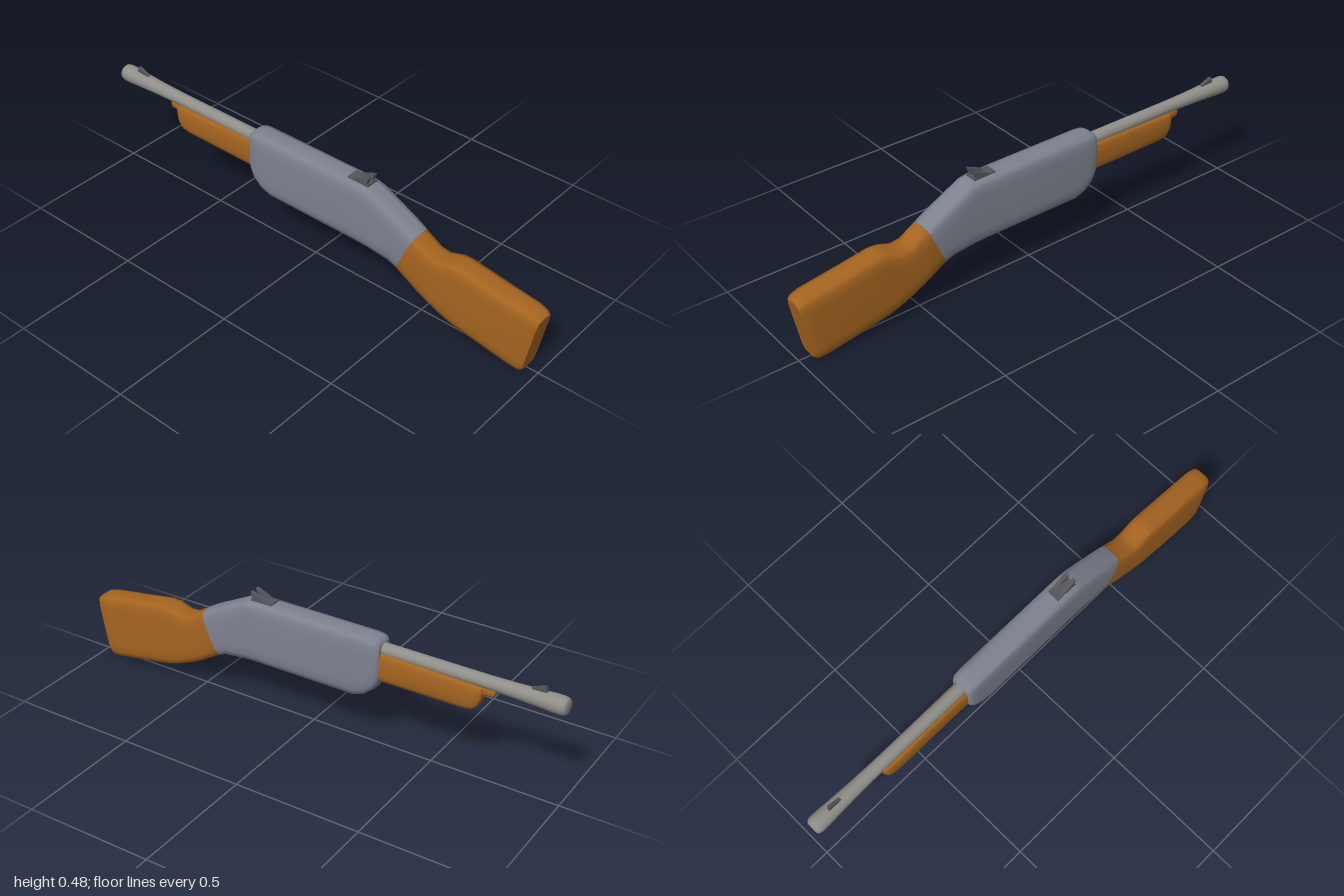
import * as THREE from 'three';

const mat = (name, color) => new THREE.MeshStandardMaterial({ name, color });

// Quarter of the rounded cross-section: [x / halfWidth, depth / inset]
const CORNER = [[1, 1], [0.92, 0.45], [0.8, 0.1], [0.4, 0]];

// Counter-clockwise section ring; a station is [topZ, topY, bottomZ, bottomY, halfWidth]
function sectionRing([tz, ty, bz, by, w]) {
  const h = ty - by;
  const inset = Math.min(1.05 * w, 0.35 * h) / h;
  const at = (x, t) => [x * w, by + h * t, bz + (tz - bz) * t];
  const back = [...CORNER].reverse();
  return [
    ...CORNER.map(([x, d]) => at(x, 1 - d * inset)),
    ...back.map(([x, d]) => at(-x, 1 - d * inset)),
    ...CORNER.map(([x, d]) => at(-x, d * inset)),
    ...back.map(([x, d]) => at(x, d * inset)),
  ];
}

// Smooth skin through stations ordered from +z to -z, with flat end caps
function loft(stations) {
  const rings = stations.map(sectionRing);
  const n = rings[0].length;
  const last = rings.length - 1;
  const pos = rings.flat(2);
  const index = [];
  for (let k = 0; k < last; k++) {
    for (let i = 0; i < n; i++) {
      const j = (i + 1) % n;
      const a = k * n + i, b = k * n + j, c = b + n, d = a + n;
      index.push(a, c, b, a, d, c);
    }
  }
  for (const end of [0, last]) {
    const base = pos.length / 3;
    pos.push(...rings[end].flat());
    for (let i = 1; i < n - 1; i++) {
      if (end === 0) index.push(base, base + i, base + i + 1);
      else index.push(base, base + i + 1, base + i);
    }
  }
  const g = new THREE.BufferGeometry();
  g.setAttribute('position', new THREE.Float32BufferAttribute(pos, 3));
  g.setIndex(index);
  g.computeVertexNormals();
  return g;
}

// Flat plate from a [z, y] outline, centred on x
function plate(outline, thickness, x = 0) {
  const shape = new THREE.Shape(outline.map(([z, y]) => new THREE.Vector2(z, y)));
  return new THREE.ExtrudeGeometry(shape, { depth: thickness, bevelEnabled: false })
    .rotateY(-Math.PI / 2)
    .translate(x + thickness / 2, 0, 0);
}

export function createModel() {
  const group = new THREE.Group();
  const wood = mat('wood', 0xa56420);
  const steel = mat('receiver steel', 0x7e828f);
  const barrelSteel = mat('barrel steel', 0x8f8e88);
  const dark = mat('sight metal', 0x55565a);
  const add = (name, geometry, material) => {
    const mesh = new THREE.Mesh(geometry, material);
    mesh.name = name;
    group.add(mesh);
  };

  // Shoulder stock with raised comb and narrow wrist
  add('stock', loft([
    [1.0, 0.247, 0.955, 0.008, 0.041],
    [0.988, 0.258, 0.94, 0.0, 0.046],
    [0.955, 0.267, 0.9, 0.005, 0.051],
    [0.8, 0.289, 0.78, 0.026, 0.052],
    [0.675, 0.309, 0.65, 0.049, 0.052],
    [0.64, 0.307, 0.61, 0.062, 0.052],
    [0.585, 0.289, 0.55, 0.086, 0.051],
    [0.545, 0.294, 0.5, 0.11, 0.051],
    [0.48, 0.334, 0.406, 0.166, 0.051],
  ]), wood);

  // Receiver body
  add('receiver', loft([
    [0.48, 0.335, 0.406, 0.166, 0.051],
    [0.44, 0.358, 0.37, 0.181, 0.052],
    [0.285, 0.436, 0.28, 0.191, 0.052],
    [0.25, 0.443, 0.22, 0.193, 0.052],
    [0.2, 0.444, 0.16, 0.193, 0.052],
    [-0.19, 0.444, -0.19, 0.193, 0.052],
    [-0.25, 0.444, -0.235, 0.208, 0.052],
    [-0.278, 0.441, -0.272, 0.238, 0.05],
    [-0.29, 0.434, -0.288, 0.265, 0.045],
    [-0.295, 0.424, -0.295, 0.285, 0.037],
  ]), steel);

  // Fore-end grip and its small front lug
  add('foreEnd', loft([
    [-0.27, 0.394, -0.27, 0.278, 0.037],
    [-0.62, 0.386, -0.62, 0.28, 0.037],
    [-0.665, 0.384, -0.66, 0.285, 0.035],
    [-0.684, 0.382, -0.676, 0.3, 0.031],
    [-0.694, 0.378, -0.688, 0.325, 0.023],
  ]), wood);
  add('foreEndLug', loft([
    [-0.67, 0.38, -0.67, 0.335, 0.018],
    [-0.705, 0.378, -0.7, 0.348, 0.016],
    [-0.728, 0.376, -0.728, 0.35, 0.014],
    [-0.735, 0.37, -0.735, 0.356, 0.009],
  ]), wood);

  // Barrel flaring to a rounded, closed muzzle
  const barrelProfile = [
    [0, 0.27], [0.025, 0.27], [0.025, 0.7], [0.027, 0.8], [0.031, 0.9],
    [0.034, 0.95], [0.034, 0.978], [0.031, 0.992], [0.024, 0.999], [0, 1.0],
  ].map(([r, d]) => new THREE.Vector2(r, d));
  add('barrel', new THREE.LatheGeometry(barrelProfile, 24)
    .rotateX(-Math.PI / 2).translate(0, 0.399, 0), barrelSteel);

  // Rear notch sight: base plate and two wings
  add('rearSightBase',
    new THREE.BoxGeometry(0.05, 0.012, 0.09).translate(0, 0.443, 0.215), dark);
  for (const side of [-1, 1]) {
    add(side > 0 ? 'rearSightWingLeft' : 'rearSightWingRight', plate([
      [0.25, 0.44], [0.19, 0.445], [0.215, 0.458], [0.262, 0.478],
    ].reverse(), 0.016, side * 0.017), dark);
  }

  // Front blade sight
  add('frontSight', plate([
    [-0.865, 0.424], [-0.865, 0.433], [-0.915, 0.452], [-0.922, 0.424],
  ], 0.013), dark);

  return group;
}
